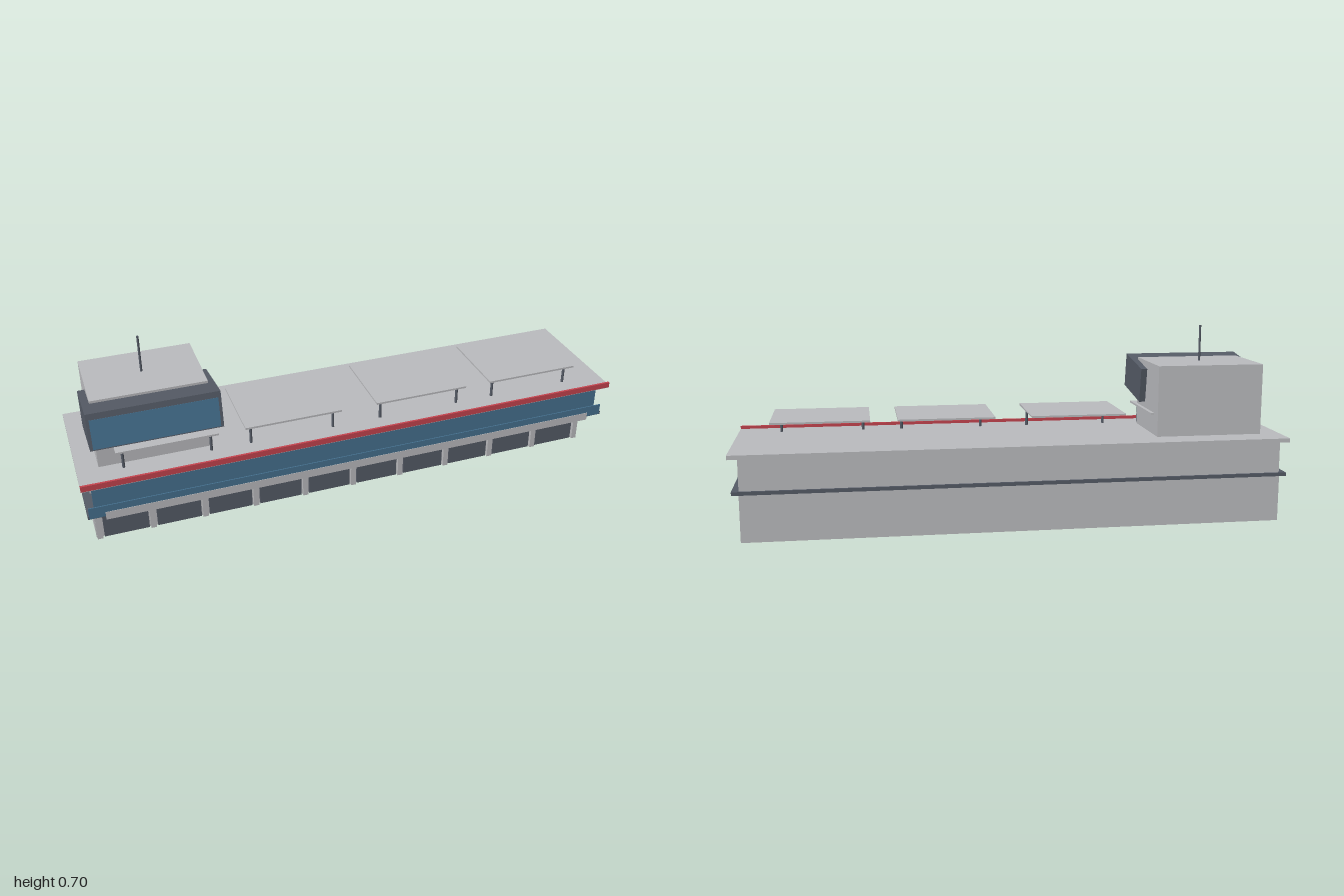
import * as THREE from 'three';

const mat = (name, color) => {
  const m = new THREE.MeshStandardMaterial({ color });
  m.name = name;
  return m;
};

export function createModel() {
  const concrete = mat('concrete grey', 0xbabbbe);
  const dark = mat('dark slate', 0x555b66);
  const glass = mat('blue glass', 0x45708f);
  const red = mat('red trim', 0xc4434e);
  const model = new THREE.Group();
  model.name = 'pitBuilding';

  // Box given by its limits on each axis
  const box = (name, material, [x0, x1], [y0, y1], [z0, z1], parent = model) => {
    const mesh = new THREE.Mesh(new THREE.BoxGeometry(x1 - x0, y1 - y0, z1 - z0), material);
    mesh.position.set((x0 + x1) / 2, (y0 + y1) / 2, (z0 + z1) / 2);
    mesh.name = name;
    parent.add(mesh);
    return mesh;
  };
  // Upright rod
  const rod = (name, x, z, y0, y1, r, parent = model) => {
    const mesh = new THREE.Mesh(new THREE.CylinderGeometry(r, r, y1 - y0, 12), dark);
    mesh.position.set(x, (y0 + y1) / 2, z);
    mesh.name = name;
    parent.add(mesh);
  };

  // Ground floor with ten garage doors between pilasters
  box('groundFloor', concrete, [-0.965, 0.965], [0, 0.167], [-0.245, 0.117]);
  const garages = new THREE.Group();
  garages.name = 'garages';
  model.add(garages);
  for (let i = 0; i < 10; i++) {
    const x = -0.857 + i * 0.1904;
    box('garageDoor', dark, [x - 0.08, x + 0.08], [0.003, 0.132], [0.117, 0.126], garages);
  }
  for (let i = 0; i <= 10; i++) {
    const x = -0.953 + i * 0.1906;
    box('pilaster', concrete, [x - 0.01, x + 0.01], [0, 0.167], [0.117, 0.13], garages);
  }

  // Balcony slab, its railing and the pale fascia strip
  box('balconySlab', dark, [-0.99, 0.99], [0.167, 0.18], [-0.247, 0.229]);
  box('balconyRailing', glass, [-0.985, 0.985], [0.169, 0.212], [0.2265, 0.2305]);
  box('fasciaStrip', concrete, [-0.93, 0.93], [0.155, 0.186], [0.2305, 0.232]);

  // Upper floor behind a free-standing glass front
  box('upperFloor', concrete, [-0.965, 0.965], [0.18, 0.292], [-0.24, 0.1]);
  box('glassFront', glass, [-0.965, 0.965], [0.18, 0.292], [0.209, 0.217]);

  // Roof with red edge
  box('roof', concrete, [-1, 1], [0.292, 0.307], [-0.247, 0.243]);
  box('roofTrim', red, [-1, 1], [0.297, 0.318], [0.24, 0.248]);

  // Four rooftop canopies on pairs of posts
  for (const x of [-0.692, -0.246, 0.24, 0.69]) {
    const canopy = new THREE.Group();
    canopy.name = 'canopy';
    model.add(canopy);
    box('canopyTop', concrete, [x - 0.176, x + 0.176], [0.381, 0.388], [-0.1, 0.193], canopy);
    for (const s of [-1, 1]) rod('canopyPost', x + s * 0.152, 0.164, 0.307, 0.381, 0.005, canopy);
  }

  // Control tower and mast
  box('tower', concrete, [-0.925, -0.529], [0.307, 0.568], [-0.147, 0.136]);
  rod('mast', -0.728, -0.005, 0.568, 0.703, 0.004);

  // Tilted observation cab with window
  const cab = new THREE.Group();
  cab.name = 'observationCab';
  cab.position.set(-0.728, 0.4915, 0.1228);
  cab.rotation.x = -0.155;
  model.add(cab);
  box('cabShell', dark, [-0.222, 0.222], [-0.065, 0.065], [-0.11, 0.11], cab);
  box('cabWindow', glass, [-0.212, 0.212], [-0.061, 0.043], [0.109, 0.1115], cab);

  return model;
}
